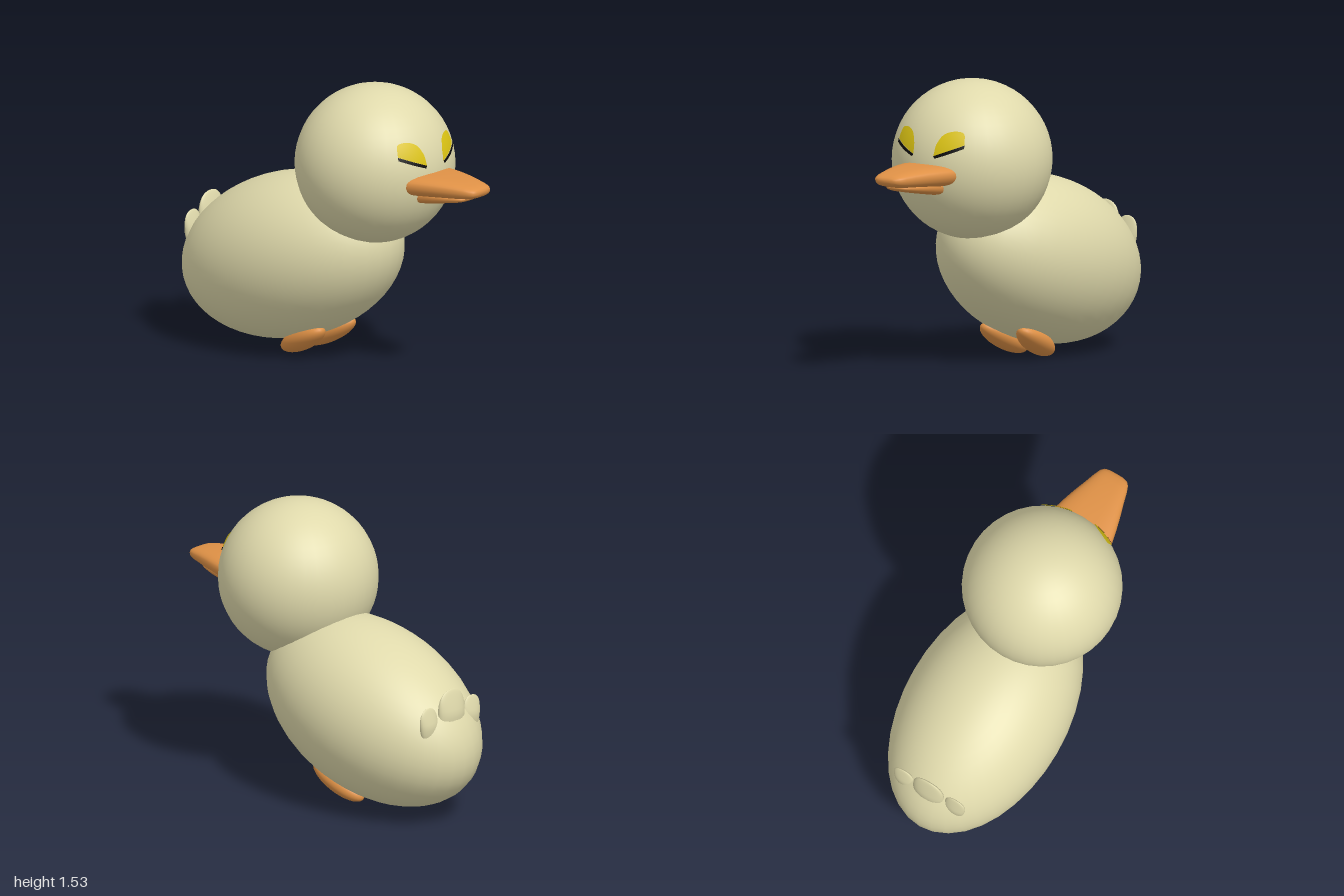
import * as THREE from 'three';

const material = (name, color, side = THREE.FrontSide) => {
  const m = new THREE.MeshStandardMaterial({ color, side });
  m.name = name;
  return m;
};

const HEAD = { y: 1.11, z: 0.25, r: 0.425 };

export function createModel() {
  const down = material('pale down', 0xdfd9ab);
  const orange = material('bill orange', 0xdf9146);
  const yellow = material('eyelid yellow', 0xdcc414, THREE.DoubleSide);
  const black = material('lash black', 0x0c0b0a, THREE.DoubleSide);

  const group = new THREE.Group();
  const add = (name, geometry, mat) => {
    const mesh = new THREE.Mesh(geometry, mat);
    mesh.name = name;
    group.add(mesh);
    return mesh;
  };
  const ellipsoid = (name, mat, position, radii, rotation = [0, 0, 0]) => {
    const mesh = add(name, new THREE.SphereGeometry(1, 36, 28), mat);
    mesh.position.set(...position);
    mesh.scale.set(...radii);
    mesh.rotation.set(...rotation);
    return mesh;
  };

  // Egg-shaped body leaning up towards the chest, and a round head
  ellipsoid('body', down, [0, 0.512, -0.32], [0.438, 0.443, 0.7], [-0.309, 0, 0]);
  ellipsoid('head', down, [0, HEAD.y, HEAD.z], [HEAD.r, HEAD.r, HEAD.r]);

  // Bill halves, lofted through rounded sections [z, half width, bottom, top]
  add('upperBill', loft([
    [0.5, 0.2, 1.005, 1.13], [0.64, 0.186, 1.012, 1.13], [0.72, 0.167, 1.018, 1.13],
    [0.8, 0.144, 1.024, 1.127], [0.88, 0.118, 1.03, 1.12], [0.94, 0.1, 1.037, 1.112],
    [0.975, 0.086, 1.045, 1.104], [0.993, 0.07, 1.055, 1.095], [1.0, 0.045, 1.066, 1.086],
  ], 3), orange);
  add('lowerBill', loft([
    [0.5, 0.118, 0.945, 1.04], [0.64, 0.116, 0.965, 1.045], [0.74, 0.108, 0.982, 1.045],
    [0.82, 0.096, 0.996, 1.045], [0.88, 0.08, 1.008, 1.044],
    [0.906, 0.064, 1.016, 1.04], [0.916, 0.04, 1.024, 1.034],
  ], 3.2), orange);

  for (const s of [1, -1]) {
    const side = s > 0 ? 'left' : 'right';

    // Half-closed lid with a slanting lash line, both lying on the head
    add(side + 'Eyelid', facePatch(s,
      [[0.066, 1.178], [0.11, 1.195], [0.165, 1.217], [0.217, 1.24]],
      [[0.072, 1.235], [0.1, 1.287], [0.15, 1.308], [0.2, 1.3], [0.214, 1.262]], 0.005), yellow);
    add(side + 'Lash', facePatch(s,
      [[0.075, 1.165], [0.15, 1.192], [0.22, 1.222]],
      [[0.066, 1.178], [0.145, 1.208], [0.22, 1.24]], 0.007), black);

    // Tucked foot, toes raised and turned out
    const foot = ellipsoid(side + 'Foot', orange, [s * 0.106, 0.096, -0.16], [0.079, 0.06, 0.174]);
    foot.rotation.set(-0.46, s * 0.16, 0, 'YXZ');

    add(side + 'TailFeather', feather(s * 0.155, 0.59, -0.885, 0.062, 0.098, 0.03, -s * 0.12), down);
  }
  add('middleTailFeather', feather(0, 0.63, -0.895, 0.093, 0.13, 0.04, 0), down);

  return group;
}

// Blunt flat feather: a squared-off ellipsoid that thins towards its tip
function feather(x, y, z, width, height, depth, lean) {
  const g = new THREE.SphereGeometry(1, 24, 18);
  const p = g.attributes.position;
  for (let i = 0; i < p.count; i++) {
    const v = p.getY(i);
    const thin = 1 - 0.55 * Math.max(0, v);
    const square = 1 + 0.3 * v * v;
    p.setXYZ(i, p.getX(i) * width * square, v * height, p.getZ(i) * depth * thin);
  }
  g.computeVertexNormals();
  g.rotateZ(lean);
  g.translate(x, y, z);
  return g;
}

// Closed skin through superellipse sections stacked along z
function loft(sections, power) {
  const n = 32, positions = [], index = [];
  const bend = (c) => Math.sign(c) * Math.abs(c) ** (2 / power);
  for (const [z, w, bottom, top] of sections) {
    for (let i = 0; i < n; i++) {
      const a = (i / n) * Math.PI * 2;
      const up = bend(Math.sin(a));
      const taper = 1 - 0.1 * Math.max(0, -up);
      positions.push(w * bend(Math.cos(a)) * taper, (top + bottom) / 2 + up * (top - bottom) / 2, z);
    }
  }
  for (let k = 0; k < sections.length - 1; k++) {
    for (let i = 0; i < n; i++) {
      const j = (i + 1) % n, a = k * n + i, b = k * n + j;
      index.push(a, b, b + n, a, b + n, a + n);
    }
  }
  // End caps
  [0, sections.length - 1].forEach((k) => {
    const [z, , bottom, top] = sections[k];
    const c = positions.length / 3;
    positions.push(0, (top + bottom) / 2, z);
    for (let i = 0; i < n; i++) {
      const a = k * n + i, b = k * n + (i + 1) % n;
      index.push(...(k ? [c, a, b] : [c, b, a]));
    }
  });
  const g = new THREE.BufferGeometry();
  g.setAttribute('position', new THREE.Float32BufferAttribute(positions, 3));
  g.setIndex(index);
  g.computeVertexNormals();
  return g;
}

// Thin patch between a lower and an upper curve, pressed onto the head sphere
function facePatch(s, lower, upper, lift) {
  const curve = (pts) => new THREE.SplineCurve(pts.map(([x, y]) => new THREE.Vector2(x, y)));
  const low = curve(lower), high = curve(upper);
  const g = new THREE.PlaneGeometry(1, 1, 20, 8);
  const p = g.attributes.position, r = HEAD.r + lift;
  for (let i = 0; i < p.count; i++) {
    const t = s * p.getX(i) + 0.5;
    const q = low.getPoint(t).lerp(high.getPoint(t), p.getY(i) + 0.5);
    const dy = q.y - HEAD.y;
    p.setXYZ(i, s * q.x, q.y, HEAD.z + Math.sqrt(r * r - q.x * q.x - dy * dy));
  }
  g.computeVertexNormals();
  return g;
}
